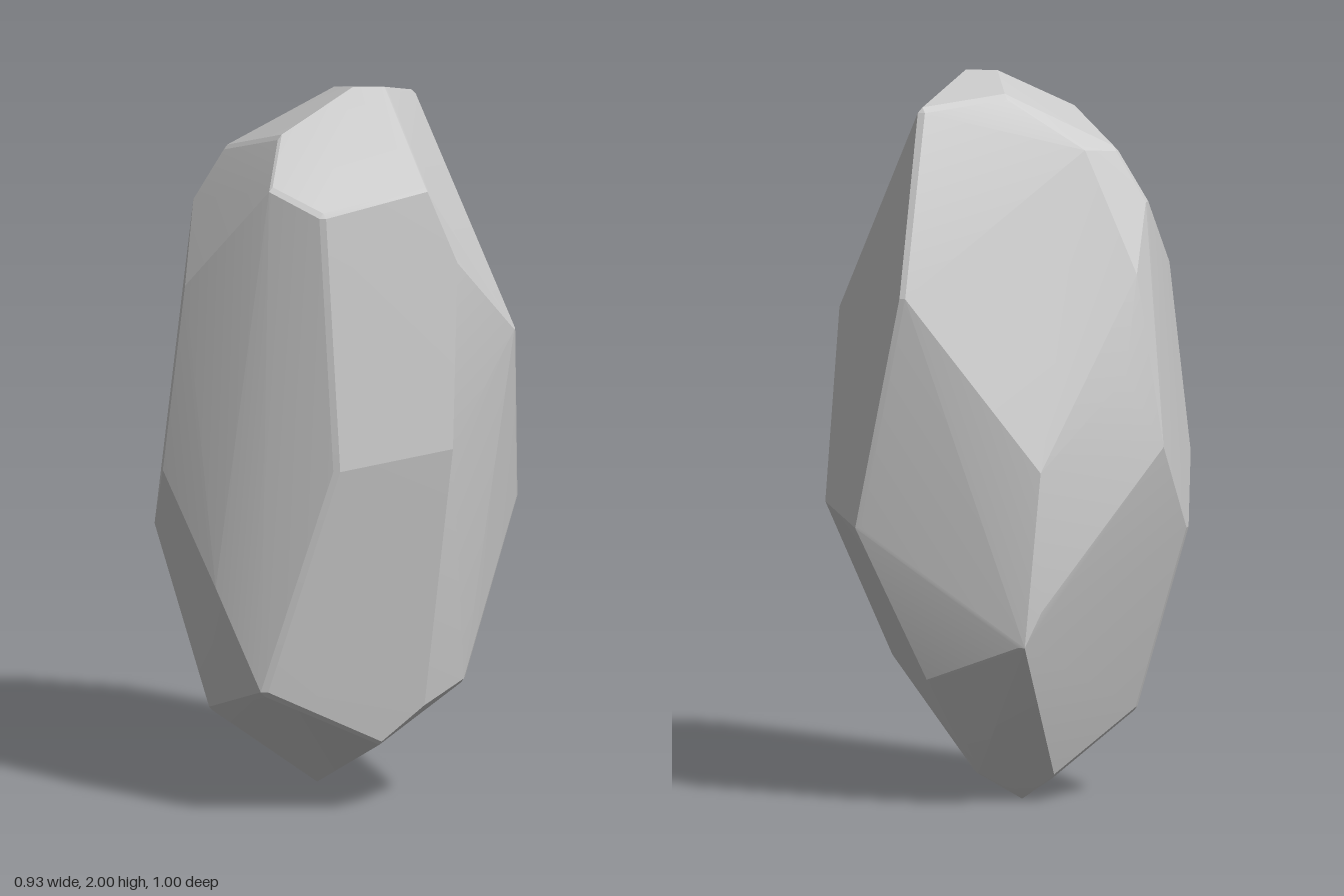
import * as THREE from 'three';
import { ConvexGeometry } from 'three/addons/geometries/ConvexGeometry.js';
import { toCreasedNormals } from 'three/addons/utils/BufferGeometryUtils.js';

// Corners of the boulder, [x, y, z], from the crown down to the foot
const crown = [
  [0.1, 2, -0.055], [0.05, 2, 0.02], [-0.13, 1.96, -0.045], [-0.08, 1.93, -0.28],
  [0.025, 1.89, 0.25], [-0.25, 1.81, 0.24], [-0.265, 1.82, 0.135],
  [0.37, 1.77, 0], [0.12, 1.77, 0.35], [0.26, 1.71, 0.275], [-0.3, 1.67, 0.31],
];
const sides = [
  [0.425, 1.57, -0.065], [-0.14, 1.47, 0.455], [-0.385, 1.48, 0.24], [-0.225, 1.43, -0.41],
  [0.345, 1.33, -0.32], [-0.435, 1.2, 0.18], [0.465, 1.05, -0.02], [0.335, 1, 0.28],
  [-0.457, 1, 0.29], [-0.46, 0.95, -0.1], [-0.185, 0.94, 0.5], [-0.335, 0.75, 0.42],
  [0.19, 0.81, -0.44], [-0.135, 0.78, -0.505], [0.035, 0.64, 0.475],
];
const foot = [
  [-0.467, 0.56, -0.1], [-0.46, 0.46, -0.15], [0.185, 0.36, 0.425], [-0.22, 0.35, -0.32],
  [0.31, 0.345, -0.17], [0.355, 0.3, 0], [-0.21, 0.235, 0.32], [0.295, 0.2, 0.105],
  [-0.15, 0.08, -0.14], [-0.24, 0.065, 0.05], [-0.15, 0, 0],
];

// Swap each corner for a tiny octahedron, so the hull gets narrow chamfers
function chamfered(corners, size) {
  const points = [];
  corners.forEach(([x, y, z], i) => {
    const r = size * (1 + 0.15 * Math.sin(i * 7));
    const centre = new THREE.Vector3(x * (1 - r / 0.47), 1 + (y - 1) * (1 - r), z * (1 - r / 0.5));
    for (const axis of ['x', 'y', 'z']) {
      for (const sign of [-1, 1]) {
        const p = centre.clone();
        p[axis] += sign * r;
        points.push(p);
      }
    }
  });
  return points;
}

export function createModel() {
  const model = new THREE.Group();
  model.name = 'rock';

  // Faceted boulder with bevelled edges
  const hull = new ConvexGeometry(chamfered([...crown, ...sides, ...foot], 0.013));
  const boulder = new THREE.Mesh(
    toCreasedNormals(hull, 0.2),
    new THREE.MeshStandardMaterial({ color: 0xcccccc })
  );
  boulder.name = 'boulder';
  model.add(boulder);
  return model;
}
